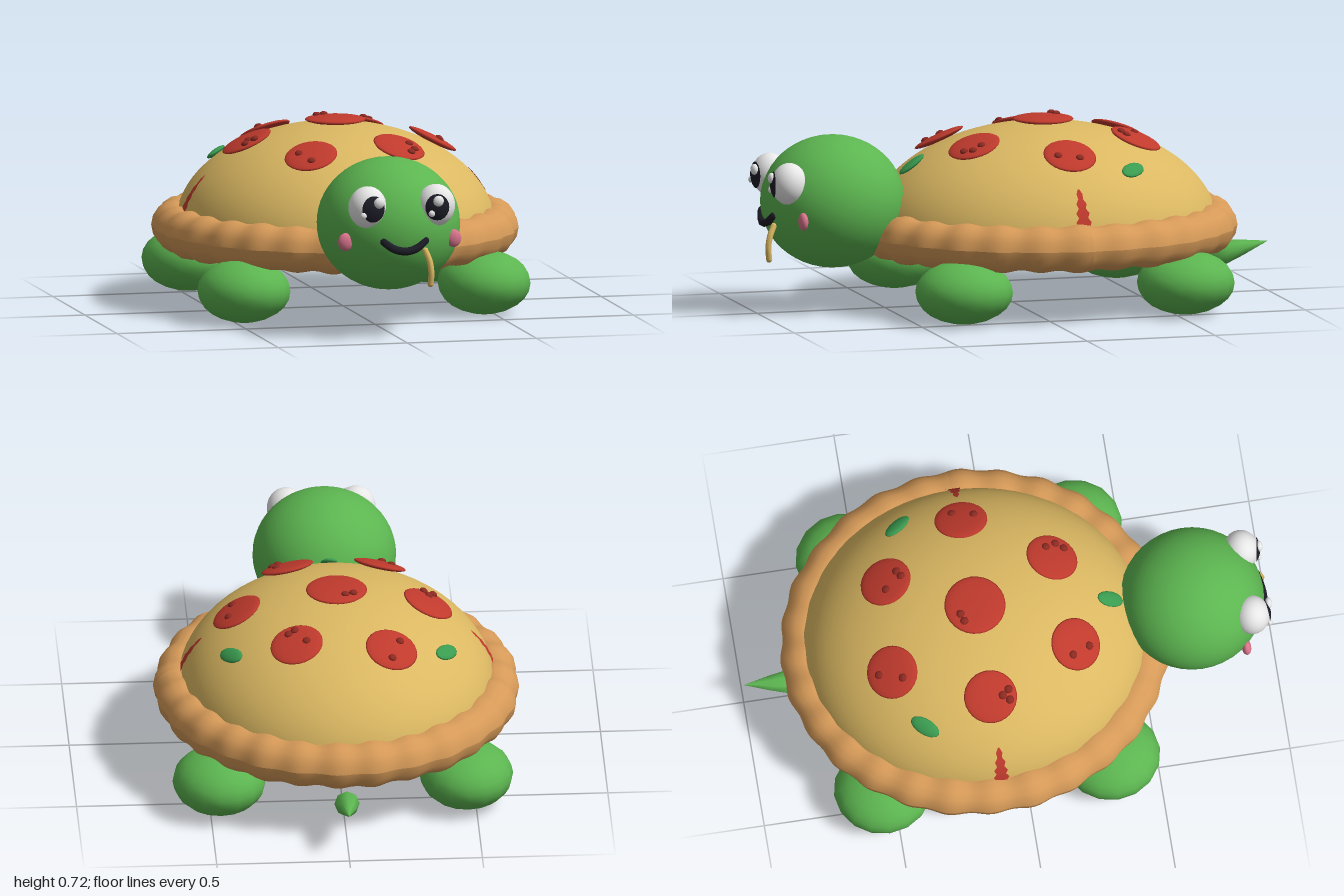
import * as THREE from 'three';

const mat = (name, color) => {
  const m = new THREE.MeshStandardMaterial({ color });
  m.name = name;
  return m;
};

export function createModel() {
  const green = mat('skin green', 0x5cb550);
  const cheese = mat('cheese yellow', 0xdbb862);
  const crustBrown = mat('crust brown', 0xd69a58);
  const bellyCream = mat('belly cream', 0xcbbd90);
  const red = mat('pepperoni red', 0xc03a2d);
  const darkRed = mat('dark red', 0x8c2a22);
  const leafGreen = mat('basil green', 0x3a9c50);
  const white = mat('eye white', 0xe8e8e8);
  const black = mat('black', 0x1c1c26);
  const pink = mat('cheek pink', 0xd8748c);
  red.side = THREE.DoubleSide;

  const model = new THREE.Group();
  model.name = 'pizzaTurtle';
  const add = (name, geo, material, parent = model) => {
    const mesh = new THREE.Mesh(geo, material);
    mesh.name = name;
    parent.add(mesh);
    return mesh;
  };
  const ball = (name, material, r, p, parent = model, w = 32, h = 20) => {
    const mesh = add(name, new THREE.SphereGeometry(1, w, h), material, parent);
    mesh.scale.set(...r);
    mesh.position.set(...p);
    return mesh;
  };

  // Shell: cheese dome, wavy crust and belly
  const C = new THREE.Vector3(0, 0.29, -0.12);
  const R = new THREE.Vector3(0.6, 0.4, 0.66);
  const dome = add('shellDome',
    new THREE.SphereGeometry(1, 64, 24, 0, Math.PI * 2, 0, Math.PI / 2), cheese);
  dome.scale.copy(R);
  dome.position.copy(C);

  const crustGeo = new THREE.TorusGeometry(1, 0.1, 16, 224);
  crustGeo.rotateX(Math.PI / 2);
  const pos = crustGeo.attributes.position;
  for (let i = 0; i < pos.count; i++) {
    const x = pos.getX(i), y = pos.getY(i), z = pos.getZ(i);
    const a = Math.atan2(z, x);
    const out = (Math.hypot(x, z) - 1) / 0.1, up = y / 0.1;
    const tube = 0.086 + 0.005 * Math.sin(28 * a) + 0.002 * Math.sin(11 * a + 1);
    pos.setXYZ(i, Math.cos(a) * (0.597 + out * tube), up * tube,
      Math.sin(a) * (0.645 + out * tube));
  }
  crustGeo.computeVertexNormals();
  add('crust', crustGeo, crustBrown).position.set(0, 0.297, -0.12);
  ball('belly', bellyCream, [0.58, 0.075, 0.63], [0, 0.25, -0.12], model, 48, 16);

  // Places a group on the dome, its y axis along the surface normal
  const onDome = (name, x, z, lift) => {
    const dz = z - C.z;
    const dy = R.y * Math.sqrt(1 - (x / R.x) ** 2 - (dz / R.z) ** 2);
    const n = new THREE.Vector3(x / R.x ** 2, dy / R.y ** 2, dz / R.z ** 2).normalize();
    const g = new THREE.Group();
    g.name = name;
    g.position.set(x, C.y + dy, z).addScaledVector(n, lift);
    g.quaternion.setFromUnitVectors(new THREE.Vector3(0, 1, 0), n);
    model.add(g);
    return g;
  };

  // Pepperoni slices: x, z, radius, then small bumps on each
  const slices = [
    [0, -0.12, 0.115, [[-0.06, -0.05], [-0.03, -0.06]]],
    [-0.34, -0.115, 0.1, [[0, 0.045], [-0.02, 0.07], [0.02, 0.07]]],
    [0.37, -0.115, 0.1, [[0.03, -0.03], [0.01, 0.05]]],
    [-0.185, -0.46, 0.1, [[-0.03, 0.04], [0, -0.05]]],
    [0.165, -0.43, 0.1, [[-0.04, 0], [0, 0.065], [0.025, 0.05]]],
    [-0.18, 0.23, 0.1, [[-0.01, 0.05], [-0.04, -0.02]]],
    [0.165, 0.195, 0.1, [[0.04, -0.02], [0.055, 0.02], [0.035, 0.05]]],
  ];
  for (const [x, z, r, bumps] of slices) {
    const g = onDome('pepperoni', x, z, 0.012);
    ball('pepperoniSlice', red, [r, 0.015, r], [0, 0, 0], g, 28, 10);
    for (const [bx, bz] of bumps)
      ball('pepperoniBump', darkRed, [0.016, 0.01, 0.016], [bx, 0.013, bz], g, 10, 6);
  }

  // Basil leaves: x, z, turn
  for (const [x, z, turn] of [[-0.395, -0.37, 0.85], [0.405, -0.35, -0.85], [0, 0.39, Math.PI / 2]]) {
    const g = onDome('basilLeaf', x, z, 0.008);
    ball('leaf', leafGreen, [0.06, 0.012, 0.032], [0, 0, 0], g, 14, 8).rotation.y = turn;
  }

  // Sauce streaks showing at both sides of the dome
  const halfWidths = [0.026, 0.02, 0.03, 0.018, 0.026, 0.014, 0.02, 0.009, 0.012, 0.003];
  for (const s of [1, -1]) {
    const verts = [], index = [];
    halfWidths.forEach((w, i) => {
      const y = 0.36 + i * 0.0165;
      for (const dz of [-w, w]) {
        const x = R.x * Math.sqrt(1 - ((y - C.y) / R.y) ** 2 - (dz / R.z) ** 2) + 0.005;
        verts.push(s * x, y, -0.11 + dz);
      }
      const k = 2 * i;
      if (i < halfWidths.length - 1)
        index.push(...(s > 0 ? [k, k + 2, k + 1, k + 1, k + 2, k + 3]
          : [k, k + 1, k + 2, k + 1, k + 3, k + 2]));
    });
    const geo = new THREE.BufferGeometry();
    geo.setAttribute('position', new THREE.Float32BufferAttribute(verts, 3));
    geo.setIndex(index);
    geo.computeVertexNormals();
    add(s > 0 ? 'leftSauceStreak' : 'rightSauceStreak', geo, red);
  }

  // Head, eyes and cheeks
  ball('head', green, [0.27, 0.25, 0.272], [0, 0.425, 0.705], model, 40, 28);
  for (const s of [1, -1]) {
    const side = s > 0 ? 'left' : 'right';
    const eye = new THREE.Group();
    eye.name = side + 'Eye';
    eye.position.set(s * 0.132, 0.517, 0.912);
    model.add(eye);
    ball('eyeball', white, [0.073, 0.08, 0.068], [0, 0, 0], eye, 24, 16);
    const capGeo = new THREE.SphereGeometry(1, 20, 8, 0, Math.PI * 2, 0, 0.64);
    capGeo.rotateX(Math.PI / 2);
    capGeo.rotateY(-s * 0.14);
    const pupil = add('pupil', capGeo, black, eye);
    pupil.scale.set(0.076, 0.084, 0.073);
    ball('largeGlint', white, [0.021, 0.021, 0.014], [s > 0 ? -0.006 : 0.028, 0.024, 0.068], eye, 12, 8);
    ball('smallGlint', white, [0.013, 0.013, 0.01], [-0.031, -0.023, 0.064], eye, 10, 6);
    ball(side + 'Cheek', pink, [0.03, 0.034, 0.018], [s * 0.209, 0.384, 0.88], model, 16, 12);
  }

  // Smile and dangling string of cheese
  const tube = (name, pts, r, material) => {
    const v = pts.map((p) => new THREE.Vector3(...p));
    add(name, new THREE.TubeGeometry(new THREE.CatmullRomCurve3(v), 20, r, 8), material);
    for (const p of [v[0], v[v.length - 1]])
      ball(name + 'End', material, [r, r, r], p.toArray(), model, 8, 6);
  };
  tube('mouth', [[-0.08, 0.39, 0.958], [-0.045, 0.364, 0.97], [0, 0.354, 0.976],
    [0.045, 0.364, 0.97], [0.08, 0.39, 0.958]], 0.015, black);
  tube('cheeseString', [[0.08, 0.352, 0.958], [0.092, 0.315, 0.976], [0.097, 0.27, 0.984],
    [0.095, 0.228, 0.98]], 0.012, cheese);

  // Legs
  for (const s of [1, -1]) {
    const side = s > 0 ? 'Left' : 'Right';
    ball('front' + side + 'Leg', green, [0.176, 0.12, 0.186], [s * 0.465, 0.13, 0.325], model, 16, 12);
    ball('back' + side + 'Leg', green, [0.176, 0.12, 0.186], [s * 0.465, 0.13, -0.543], model, 16, 12);
  }

  // Tail: pointed drop leaning backwards and up
  const profile = [[0, -0.08], [0.03, -0.055], [0.048, 0], [0.03, 0.075], [0, 0.178]]
    .map(([r, y]) => new THREE.Vector2(r, y));
  const tail = add('tail', new THREE.LatheGeometry(profile, 8), green);
  tail.position.set(0, 0.163, -0.826);
  tail.rotation.x = -Math.PI / 2 + 0.2;

  return model;
}
